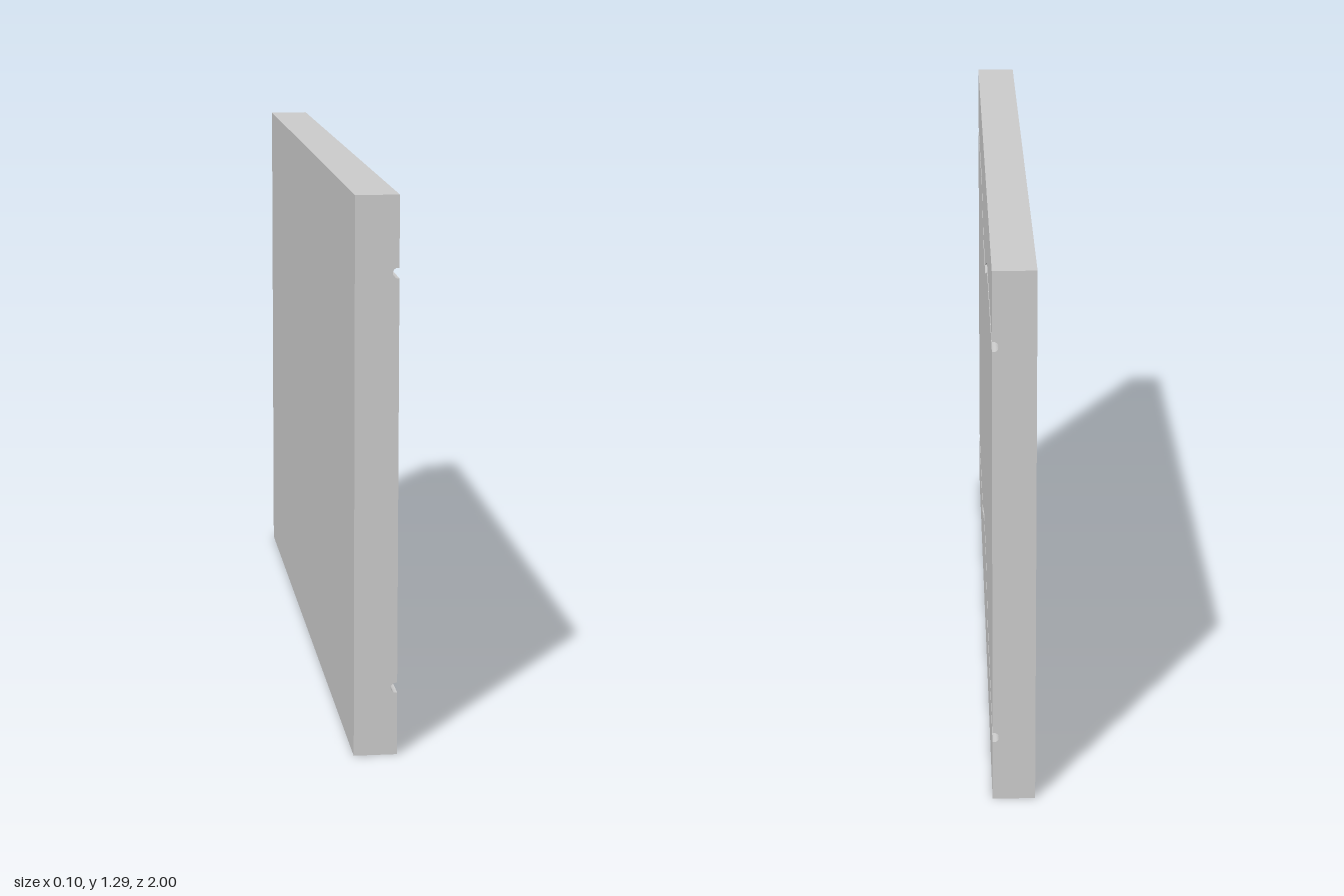
import * as THREE from 'three';
import { toCreasedNormals } from 'three/addons/utils/BufferGeometryUtils.js';

const HALF_THICK = 0.05, HEIGHT = 1.295;
const GROOVE_X = 0.047, GROOVE_R = 0.012, ARC_STEPS = 16;

// Groove heights along the panel: [z, lower groove y, upper groove y]
const STATIONS = [
  [1, 0.16, 1.12], [0.4, 0.16, 1.12], [0.13, 0.245, 1.033],
  [-0.13, 0.245, 1.033], [-0.4, 0.16, 1.12], [-1, 0.16, 1.12],
];

// Round channel cut into the +x face, listed from bottom lip to top lip
function grooveArc(y) {
  const lip = Math.acos((HALF_THICK - GROOVE_X) / GROOVE_R);
  const sweep = 2 * Math.PI - 2 * lip;
  return Array.from({ length: ARC_STEPS + 1 }, (_, i) => {
    const a = -lip - sweep * i / ARC_STEPS;
    return new THREE.Vector2(GROOVE_X + GROOVE_R * Math.cos(a), y + GROOVE_R * Math.sin(a));
  });
}

// Counter-clockwise outline of the panel at one station
function section([z, low, high]) {
  const v = (x, y) => new THREE.Vector2(x, y);
  const outline = [
    v(-HALF_THICK, 0), v(HALF_THICK, 0),
    ...grooveArc(low), ...grooveArc(high),
    v(HALF_THICK, HEIGHT), v(-HALF_THICK, HEIGHT),
  ];
  return { z, outline };
}

function panelGeometry() {
  const sections = STATIONS.map(section);
  const n = sections[0].outline.length;
  const positions = [];
  const put = (s, i) => positions.push(s.outline[i].x, s.outline[i].y, s.z);

  // Skin between neighbouring sections
  for (let k = 0; k < sections.length - 1; k++) {
    const a = sections[k], b = sections[k + 1];
    for (let i = 0; i < n; i++) {
      const j = (i + 1) % n;
      put(a, i); put(b, i); put(a, j);
      put(a, j); put(b, i); put(b, j);
    }
  }

  // End caps
  const front = sections[0], back = sections[sections.length - 1];
  for (const [i, j, k] of THREE.ShapeUtils.triangulateShape(front.outline, [])) {
    put(front, i); put(front, j); put(front, k);
    put(back, k); put(back, j); put(back, i);
  }

  const geometry = new THREE.BufferGeometry();
  geometry.setAttribute('position', new THREE.Float32BufferAttribute(positions, 3));
  return toCreasedNormals(geometry, 0.29);
}

export function createModel() {
  const group = new THREE.Group();
  group.name = 'groovedPanel';
  const panel = new THREE.Mesh(panelGeometry(), new THREE.MeshStandardMaterial({ color: 0xcccccc }));
  panel.name = 'panel';
  group.add(panel);
  return group;
}
